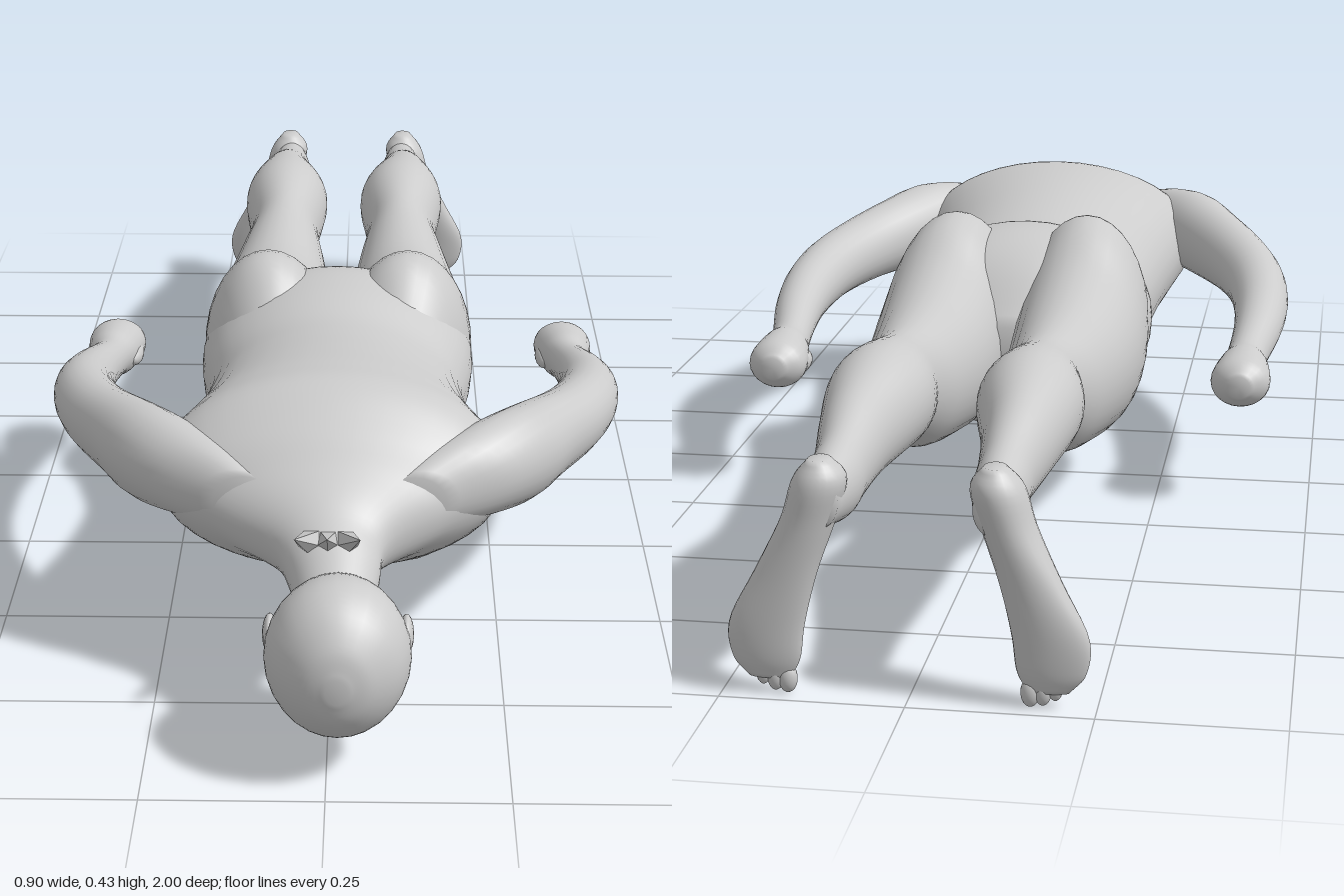
import * as THREE from 'three';

const skin = new THREE.MeshStandardMaterial({ color: 0xcccccc });

// Smooth loft along z. Station: [z, centre x, centre y, half width, half height up, half height down]
function loft(stations, rings = 48, sides = 28) {
  const centre = new THREE.CatmullRomCurve3(
    stations.map(([z, x, y]) => new THREE.Vector3(x, y, z)), false, 'catmullrom', 0.5);
  const radius = new THREE.CatmullRomCurve3(
    stations.map(([, , , w, up, down = up]) => new THREE.Vector3(w, up, down)), false, 'catmullrom', 0.5);
  const pos = [], index = [];
  for (let i = -1; i <= rings + 1; i++) {
    const u = Math.min(Math.max(i / rings, 0), 1);
    const c = centre.getPoint(u), r = radius.getPoint(u);
    if (i < 0 || i > rings) r.set(0, 0, 0); // close the ends
    for (let j = 0; j < sides; j++) {
      const a = (j / sides) * Math.PI * 2, s = Math.sin(a);
      pos.push(c.x + r.x * Math.cos(a), c.y + s * (s > 0 ? r.y : r.z), c.z);
    }
  }
  for (let i = 0; i < rings + 2; i++) {
    for (let j = 0; j < sides; j++) {
      const k = (j + 1) % sides, a = i * sides, b = a + sides;
      index.push(a + j, a + k, b + j, a + k, b + k, b + j);
    }
  }
  const g = new THREE.BufferGeometry();
  g.setAttribute('position', new THREE.Float32BufferAttribute(pos, 3));
  g.setIndex(index);
  g.computeVertexNormals();
  return g;
}

function add(parent, name, geometry, material = skin) {
  const m = new THREE.Mesh(geometry, material);
  m.name = name;
  parent.add(m);
  return m;
}

function blob(parent, name, [x, y, z], [sx, sy, sz]) {
  const m = add(parent, name, new THREE.SphereGeometry(1, 18, 12));
  m.position.set(x, y, z);
  m.scale.set(sx, sy, sz);
  return m;
}

// Moves the station centres to one side of the body
const onSide = (stations, s) => stations.map(([z, x, ...rest]) => [z, x * s, ...rest]);

const TORSO = [
  [-0.11, 0, 0.23, 0.09, 0.05, 0.08],
  [-0.03, 0, 0.25, 0.2, 0.12, 0.165],
  [0.05, 0, 0.25, 0.222, 0.155, 0.175],
  [0.14, 0, 0.25, 0.218, 0.155, 0.185],
  [0.22, 0, 0.24, 0.203, 0.15, 0.19],
  [0.3, 0, 0.24, 0.208, 0.155, 0.18],
  [0.4, 0, 0.25, 0.22, 0.16, 0.16],
  [0.5, 0, 0.27, 0.24, 0.155, 0.165],
  [0.58, 0, 0.285, 0.255, 0.143, 0.155],
  [0.65, 0, 0.285, 0.23, 0.105, 0.12],
  [0.7, 0, 0.275, 0.165, 0.072, 0.085],
  [0.75, 0, 0.255, 0.085, 0.055, 0.07],
  [0.8, 0.008, 0.23, 0.063, 0.055, 0.07],
  [0.87, 0.012, 0.2, 0.05, 0.05],
];

const HEAD = [
  [0.75, 0.015, 0.12, 0.025, 0.03],
  [0.785, 0.015, 0.135, 0.06, 0.08],
  [0.84, 0.015, 0.155, 0.088, 0.105],
  [0.9, 0.015, 0.165, 0.1, 0.113],
  [0.95, 0.015, 0.165, 0.085, 0.097],
  [0.985, 0.015, 0.165, 0.05, 0.058],
  [0.998, 0.015, 0.165, 0.015, 0.018],
];

const ARM = [
  [-0.15, 0.385, 0.205, 0.018, 0.018],
  [-0.12, 0.385, 0.205, 0.047, 0.04],
  [-0.06, 0.387, 0.208, 0.043, 0.043],
  [-0.01, 0.389, 0.215, 0.033, 0.036],
  [0.1, 0.402, 0.238, 0.04, 0.042],
  [0.2, 0.403, 0.256, 0.047, 0.05],
  [0.3, 0.387, 0.272, 0.053, 0.055],
  [0.4, 0.35, 0.285, 0.06, 0.06],
  [0.5, 0.295, 0.298, 0.068, 0.068],
  [0.58, 0.248, 0.305, 0.075, 0.073],
  [0.65, 0.185, 0.305, 0.075, 0.06],
  [0.7, 0.12, 0.295, 0.045, 0.04],
];

const LEG = [
  [-0.98, 0.113, 0.27, 0.025, 0.035],
  [-0.9, 0.112, 0.268, 0.037, 0.05],
  [-0.84, 0.112, 0.275, 0.04, 0.055],
  [-0.74, 0.114, 0.288, 0.054, 0.068],
  [-0.6, 0.109, 0.297, 0.077, 0.082],
  [-0.46, 0.108, 0.275, 0.063, 0.086],
  [-0.35, 0.11, 0.25, 0.079, 0.104],
  [-0.2, 0.113, 0.235, 0.098, 0.122],
  [-0.08, 0.115, 0.235, 0.108, 0.145],
  [0.02, 0.115, 0.25, 0.108, 0.175],
  [0.1, 0.11, 0.26, 0.1, 0.165],
  [0.2, 0.1, 0.25, 0.06, 0.08],
];

// Foot runs from the toes up to the heel: first value is height, third is -z
const FOOT = [
  [0.022, 0.186, 0.972, 0.028, 0.009],
  [0.05, 0.19, 0.973, 0.046, 0.015],
  [0.1, 0.188, 0.972, 0.051, 0.02],
  [0.17, 0.162, 0.967, 0.042, 0.027],
  [0.24, 0.133, 0.957, 0.037, 0.039],
  [0.295, 0.117, 0.956, 0.036, 0.041],
  [0.325, 0.115, 0.962, 0.015, 0.018],
];

export function createModel() {
  const model = new THREE.Group();
  model.name = 'lyingFigure';

  add(model, 'torsoAndNeck', loft(TORSO, 72, 40));

  // Head, face down, with the crown towards +z
  const head = new THREE.Group();
  head.name = 'head';
  model.add(head);
  add(head, 'skull', loft(HEAD, 32));
  blob(head, 'nose', [0.022, 0.052, 0.865], [0.014, 0.022, 0.024]);
  blob(head, 'lips', [0.018, 0.066, 0.815], [0.028, 0.014, 0.01]);
  blob(head, 'chin', [0.015, 0.095, 0.775], [0.03, 0.03, 0.022]);
  for (const s of [-1, 1]) {
    blob(head, 'brow', [0.015 + s * 0.036, 0.07, 0.9], [0.026, 0.013, 0.012]);
    blob(head, 'ear', [0.015 + s * 0.093, 0.18, 0.865], [0.01, 0.026, 0.03]);
  }

  // Jagged tufts at the nape
  const tuftMaterial = skin.clone();
  tuftMaterial.flatShading = true;
  for (const [x, tilt] of [[-0.03, 0.3], [0, 0], [0.03, -0.3]]) {
    const tuft = add(head, 'napeTuft', new THREE.ConeGeometry(0.026, 0.1, 5), tuftMaterial);
    tuft.position.set(x, 0.288, 0.805);
    tuft.rotation.set(1.05, 0, tilt);
  }

  for (const s of [-1, 1]) {
    const side = s > 0 ? 'left' : 'right';
    blob(model, side + 'Pectoral', [s * 0.095, 0.165, 0.49], [0.09, 0.055, 0.085]);

    const arm = new THREE.Group();
    arm.name = side + 'Arm';
    model.add(arm);
    add(arm, 'armAndFist', loft(onSide(ARM, s), 56, 24));
    blob(arm, 'thumb', [s * 0.353, 0.2, -0.075], [0.016, 0.018, 0.038]);

    const leg = new THREE.Group();
    leg.name = side + 'Leg';
    model.add(leg);
    add(leg, 'thighAndCalf', loft(onSide(LEG, s), 64, 32));
    add(leg, 'foot', loft(onSide(FOOT, s), 28, 24).rotateX(-Math.PI / 2));
    // Toes, largest on the inner side
    for (let i = 0; i < 5; i++) {
      const r = 0.013 - i * 0.0012;
      blob(leg, 'toe', [s * (0.162 + i * 0.0165), 0.02 + i * i * 0.0025, -0.972], [r, 0.02, r * 0.85]);
    }
  }
  return model;
}
